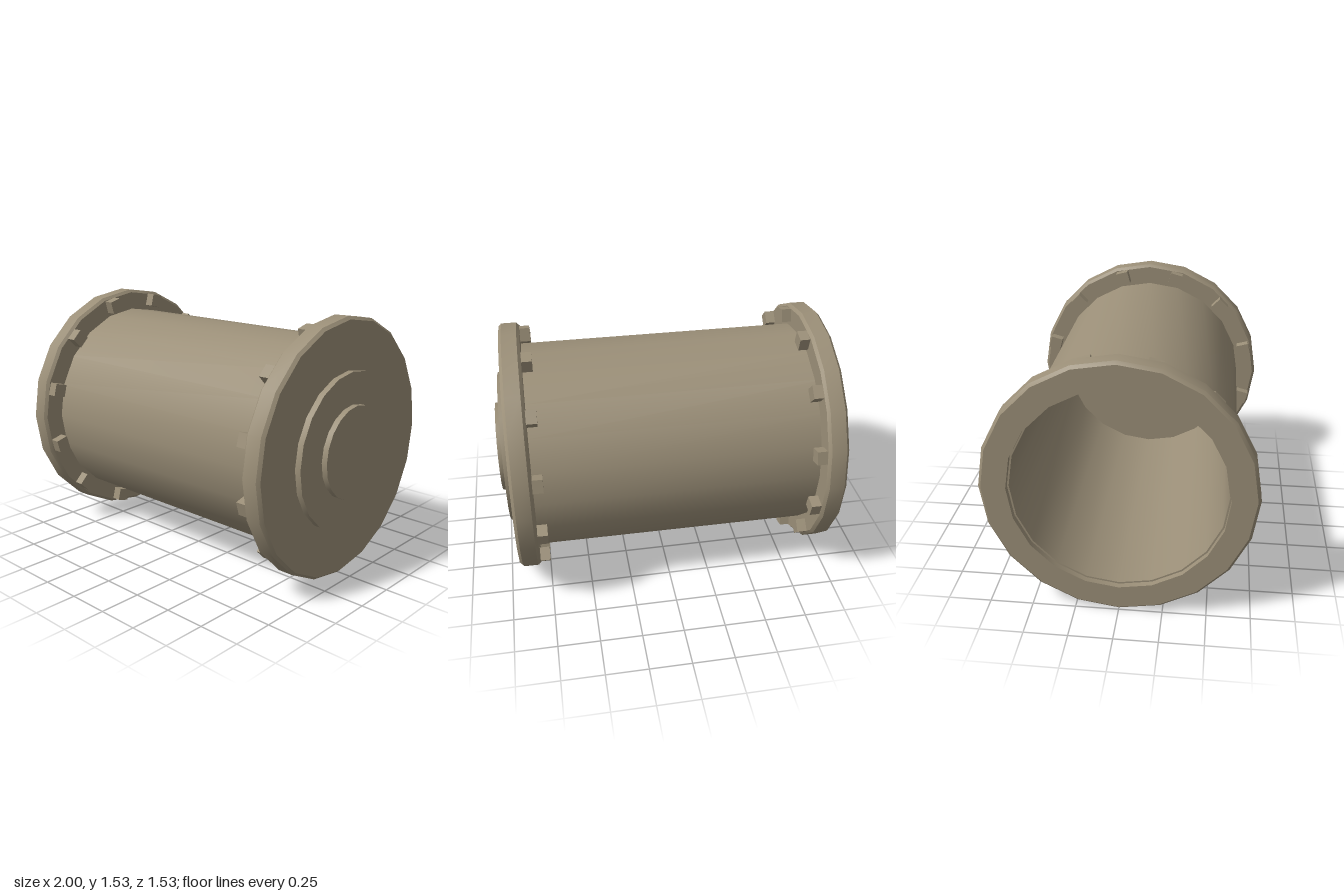
import * as THREE from 'three';
import { toCreasedNormals } from 'three/addons/utils/BufferGeometryUtils.js';

const SIDES = 20;
const AXIS_Y = 0.765;
const FLANGE_R = 0.765;
const BEVEL = 0.017;

// Revolves [radius, x] points around the x axis; outer wall runs towards +x.
function revolve(points) {
  const profile = points.map(([r, x]) => new THREE.Vector2(r, x));
  const geometry = new THREE.LatheGeometry(profile, SIDES);
  geometry.rotateZ(-Math.PI / 2);
  return toCreasedNormals(geometry, Math.PI / 6);
}

// Flange rim with bevelled edges, from x0 to x1, closed to the bore radius.
function flangeProfile(x0, x1, bore) {
  const rim = [
    [bore, x0],
    [FLANGE_R - BEVEL, x0],
    [FLANGE_R, x0 + BEVEL],
    [FLANGE_R, x1 - BEVEL],
    [FLANGE_R - BEVEL, x1],
    [bore, x1],
  ];
  if (bore > 0) rim.push([bore, x0]);
  return rim;
}

const discProfile = (r, x0, x1) => [[0, x0], [r, x0], [r, x1], [0, x1]];

export function createModel() {
  const model = new THREE.Group();
  model.name = 'flangedCylinder';
  const body = new THREE.Group();
  body.name = 'body';
  body.position.y = AXIS_Y;
  model.add(body);

  const metal = new THREE.MeshStandardMaterial({ color: 0x9b8f78 });
  metal.name = 'tan metal';

  function add(name, geometry, parent = body) {
    const mesh = new THREE.Mesh(geometry, metal);
    mesh.name = name;
    parent.add(mesh);
    return mesh;
  }

  // Hollow barrel, open at the -x end
  add('barrel', revolve([
    [0.6, -0.965], [0.635, -0.965], [0.635, 0.82], [0.6, 0.82], [0.6, -0.965],
  ]));

  // Open ring flange and closed end flange
  add('openFlange', revolve(flangeProfile(-1, -0.877, 0.61)));
  add('closedFlange', revolve(flangeProfile(0.807, 0.93, 0)));

  // Stepped discs on the closed end
  add('largeEndDisc', revolve(discProfile(0.465, 0.92, 0.966)));
  add('smallEndDisc', revolve(discProfile(0.275, 0.95, 1)));

  // Twelve square bolts on the inner face of each flange
  const boltGeometry = new THREE.BoxGeometry(0.07, 0.08, 0.08);
  for (const [name, x] of [['openEndBolts', -0.852], ['closedEndBolts', 0.782]]) {
    const ring = new THREE.Group();
    ring.name = name;
    for (let i = 0; i < 12; i++) {
      const angle = ((i + 0.5) * Math.PI) / 6;
      const bolt = add('bolt', boltGeometry, ring);
      bolt.position.set(x, Math.cos(angle) * 0.7, Math.sin(angle) * 0.7);
      bolt.rotation.x = angle;
    }
    body.add(ring);
  }

  return model;
}
